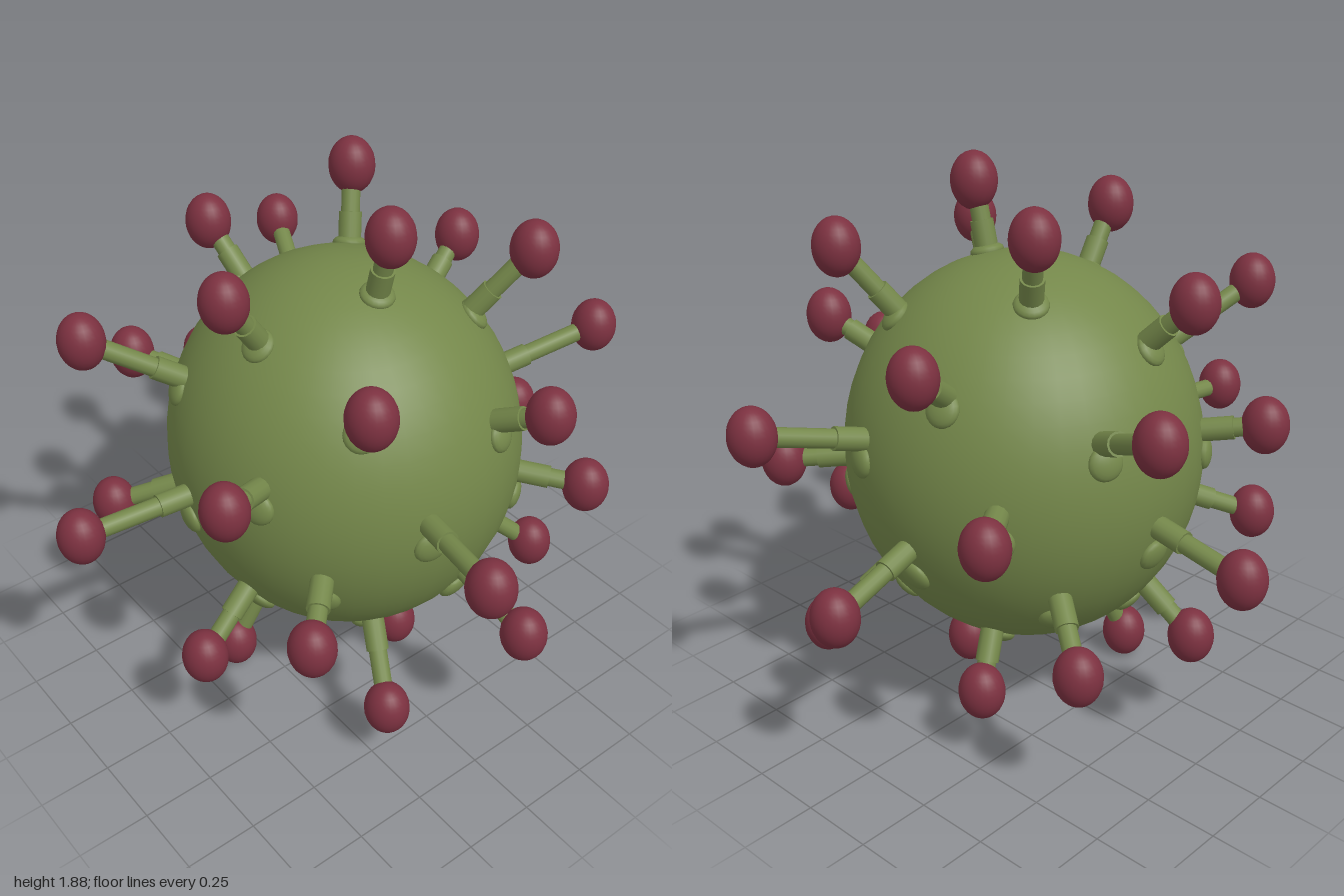
import * as THREE from 'three';

const CENTRE = new THREE.Vector3(-0.005, 0.94, -0.027);
const RADII = new THREE.Vector3(0.603, 0.65, 0.583);
const UP = new THREE.Vector3(0, 1, 0);

// Knob centres, from the crown down to the underside
const KNOBS = [
  [0.217, 1.785, -0.02], [-0.29, 1.74, -0.285], [0.035, 1.655, 0.445],
  [0.345, 1.64, -0.49], [0.597, 1.53, 0.36], [-0.595, 1.53, 0.08],
  [-0.38, 1.415, 0.7], [-0.184, 1.4, -0.67], [-0.825, 1.293, -0.366],
  [0.671, 1.293, -0.275], [0.314, 1.177, 0.663], [0.27, 1.163, -0.908],
  [-0.686, 1.079, 0.366], [0.917, 1.04, 0.178], [-0.468, 0.968, -0.68],
  [-0.13, 0.912, 0.91], [0.62, 0.86, -0.545], [-0.921, 0.79, -0.067],
  [0.565, 0.75, 0.547], [-0.05, 0.668, -0.893], [-0.515, 0.633, 0.59],
  [0.786, 0.56, -0.133], [-0.627, 0.51, -0.457], [0.148, 0.457, 0.668],
  [0.335, 0.372, -0.627], [-0.59, 0.357, 0.158], [-0.205, 0.258, -0.44],
  [0.54, 0.245, 0.223], [0.175, 0.163, -0.119], [-0.146, 0.1, 0.361],
];

export function createModel() {
  const group = new THREE.Group();
  const green = new THREE.MeshStandardMaterial({ color: 0x74874a });
  const red = new THREE.MeshStandardMaterial({ color: 0x7c3140 });

  const bodyGeo = new THREE.SphereGeometry(1, 40, 28);
  const knobGeo = new THREE.SphereGeometry(1, 24, 16);
  const collarGeo = new THREE.SphereGeometry(1, 20, 10);
  const rodGeo = new THREE.CylinderGeometry(1, 1, 1, 14);

  const add = (parent, name, geo, mat, pos, scale) => {
    const mesh = new THREE.Mesh(geo, mat);
    mesh.name = name;
    mesh.position.copy(pos);
    mesh.scale.set(...scale);
    parent.add(mesh);
    return mesh;
  };
  const rod = (parent, name, a, b, r) => {
    const dir = b.clone().sub(a);
    const mid = a.clone().add(b).multiplyScalar(0.5);
    const mesh = add(parent, name, rodGeo, green, mid, [r, dir.length(), r]);
    mesh.quaternion.setFromUnitVectors(UP, dir.normalize());
  };
  // Point on the body surface in the direction of p
  const onBody = (p) => {
    const d = p.clone().sub(CENTRE);
    return d.divideScalar(d.clone().divide(RADII).length()).add(CENTRE);
  };

  add(group, 'body', bodyGeo, green, CENTRE, RADII.toArray());

  KNOBS.forEach((k) => {
    const spike = new THREE.Group();
    spike.name = 'spike';
    group.add(spike);

    const tip = new THREE.Vector3(...k);
    const root = onBody(tip);
    const dir = tip.clone().sub(root).normalize();
    const joint = root.clone().addScaledVector(dir, 0.1);

    // Stem in two thicknesses, ending inside the knob
    rod(spike, 'lowerStem', root.clone().addScaledVector(dir, -0.06), joint, 0.038);
    rod(spike, 'upperStem', joint, tip, 0.031);
    add(spike, 'knob', knobGeo, red, tip, [0.078, 0.095, 0.075]);

    // Flattened collar, sitting further below the stem lower on the body
    const seat = root.clone();
    seat.y -= 0.14 * (1.6 - root.y);
    const pos = onBody(seat);
    const normal = pos.clone().sub(CENTRE).divide(RADII).divide(RADII).normalize();
    const collar = add(spike, 'collar', collarGeo, green, pos, [0.056, 0.026, 0.056]);
    collar.quaternion.setFromUnitVectors(UP, normal);
  });

  return group;
}
